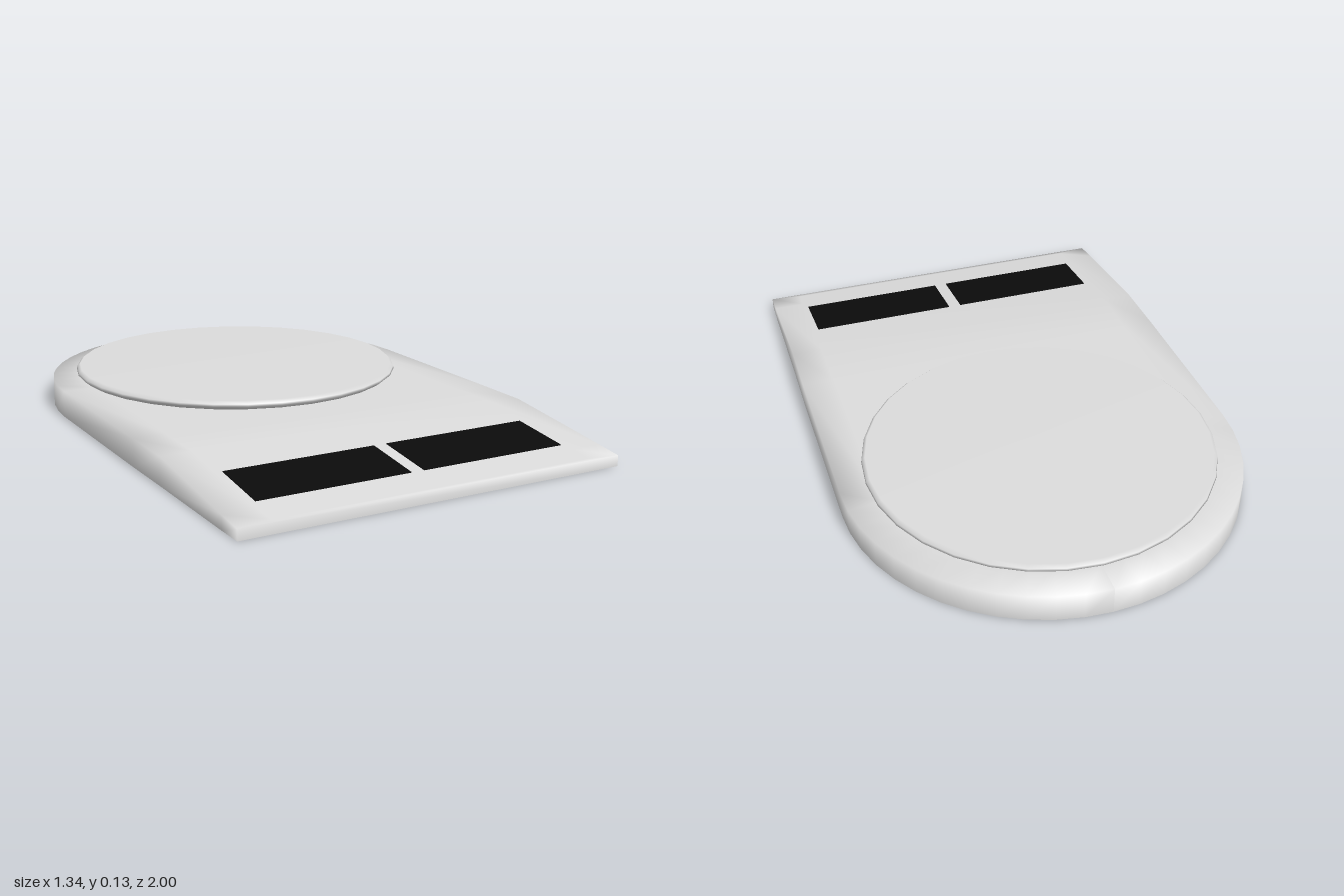
import * as THREE from 'three';

const BACK_Z = -0.33;   // centre of the rounded back and of the platter
const TOP = 0.093, LIP = 0.035, SLOPE_Z = 0.5;
const topY = z => z < SLOPE_Z ? TOP : TOP + (LIP - TOP) * (z - SLOPE_Z) / (1 - SLOPE_Z);

// Open-bottomed shell: each row runs from one lower edge, over the top, to the other.
function shellGeometry() {
  const rows = []; // [outer x, outer z, inner x, inner z]
  const steps = 12;
  for (let i = 0; i <= steps; i++) {
    const a = (i / steps) * Math.PI / 2;
    const s = Math.sin(a), c = Math.cos(a);
    rows.push([0.67 * s, BACK_Z - 0.67 * c, 0.56 * s, BACK_Z - 0.56 * c]);
  }
  rows.push([0.668, 0.3, 0.56, 0.3], [0.665, 0.5, 0.56, 0.5],
    [0.662, 0.91, 0.555, 0.91], [0.66, 1, 0.55, 0.985]);

  const positions = [], index = [];
  const quad = (a, b, d, e) => index.push(a, b, d, b, e, d);
  for (const [x, z, xi, zi] of rows) {
    const y = topY(z), yi = topY(zi);
    positions.push(x, 0, z, x, y, z, xi, yi, zi, -xi, yi, zi, -x, y, z, -x, 0, z);
  }
  for (let r = 0; r < rows.length - 1; r++) {
    for (let c = 0; c < 5; c++) {
      const a = r * 6 + c;
      quad(a, a + 1, a + 6, a + 7);
    }
  }
  // Front lip and low front wall
  const f = (rows.length - 1) * 6;
  quad(f + 2, f + 3, f + 1, f + 4);
  quad(f + 1, f + 4, f, f + 5);

  const geometry = new THREE.BufferGeometry();
  geometry.setAttribute('position', new THREE.Float32BufferAttribute(positions, 3));
  geometry.setIndex(index);
  geometry.computeVertexNormals();
  return geometry;
}

export function createModel() {
  const group = new THREE.Group();
  const shellGrey = new THREE.MeshStandardMaterial({ color: 0xdcdcdc, side: THREE.DoubleSide });
  shellGrey.name = 'light grey';
  const black = new THREE.MeshStandardMaterial({ color: 0x0b0b0b });
  black.name = 'display black';

  const add = (name, geometry, material) => {
    const mesh = new THREE.Mesh(geometry, material);
    mesh.name = name;
    group.add(mesh);
    return mesh;
  };

  add('body', shellGeometry(), shellGrey);

  // Round weighing platter with bevelled rim, just above the body
  const profile = [[0, 0.1], [0.57, 0.1], [0.585, 0.112], [0.583, 0.12], [0.572, 0.13], [0, 0.13]]
    .map(([x, y]) => new THREE.Vector2(x, y));
  add('platter', new THREE.LatheGeometry(profile, 32), shellGrey).position.z = BACK_Z;

  // Two display windows let into the sloping front
  const tilt = Math.atan((TOP - LIP) / (1 - SLOPE_Z));
  for (const side of [1, -1]) {
    const panel = add(side > 0 ? 'leftDisplay' : 'rightDisplay',
      new THREE.BoxGeometry(0.516, 0.006, 0.207), black);
    panel.position.set(side * 0.281, topY(0.768), 0.768);
    panel.rotation.x = tilt;
  }
  return group;
}
